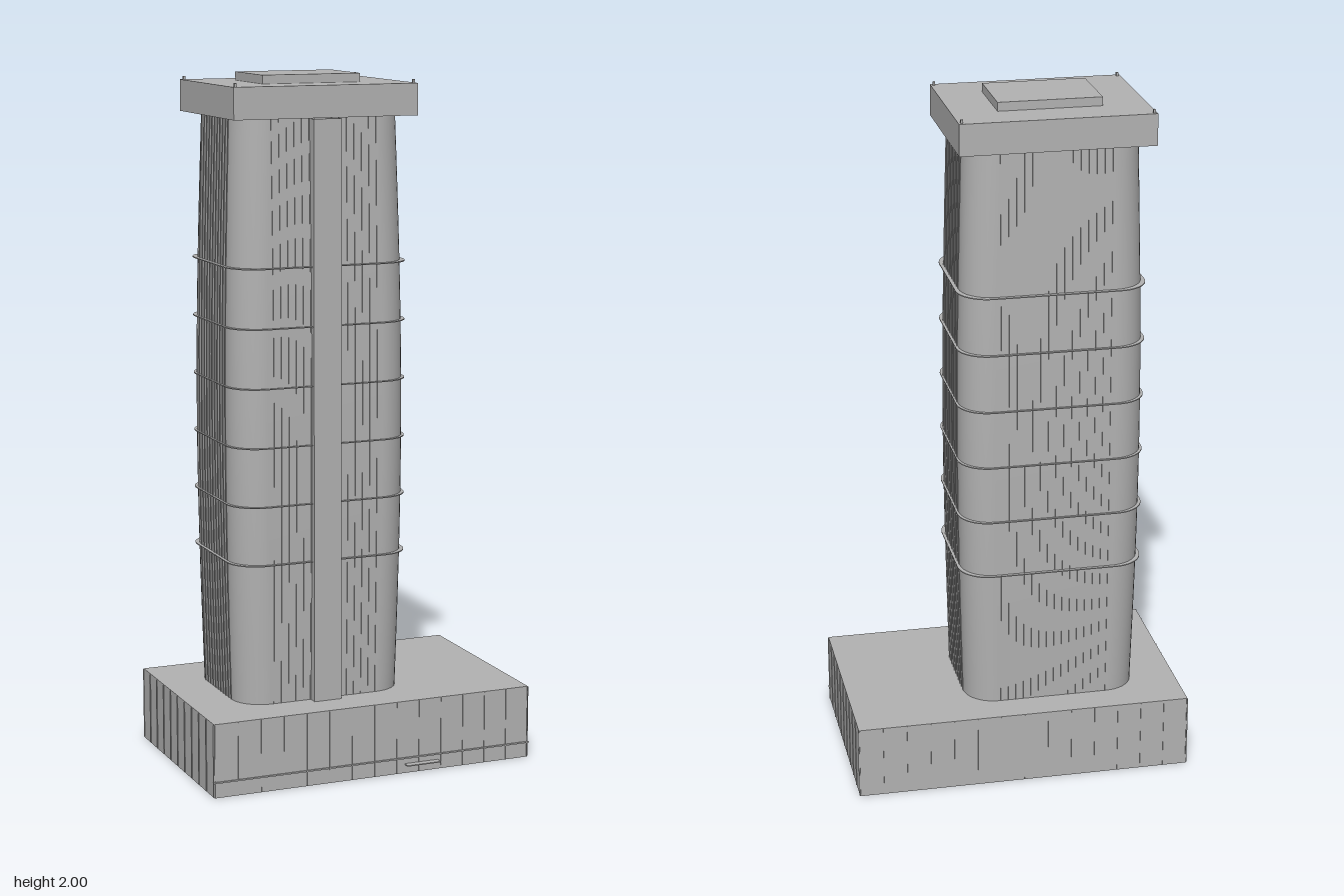
import * as THREE from 'three';

const concrete = new THREE.MeshStandardMaterial({ color: 0xb2b2b2, side: THREE.DoubleSide });
concrete.name = 'grey concrete';

const CX = -0.105, CZ = -0.0235;      // tower axis
const Y0 = 0.215, Y1 = 1.885;         // tower foot and head

// Half width of the gently swelling tower at height y (depth is narrower)
function halfWidth(y) {
  const t = (y - Y0) / (Y1 - Y0);
  return 0.253 - 0.004 * t + 0.014 * Math.sin(Math.PI * t);
}
const halfDepth = (w) => w - 0.057;

// Rounded rectangle outline at height y, anticlockwise seen from above
function outline(w, y, radius = 0.09, steps = 10) {
  const d = halfDepth(w), pts = [];
  [[1, -1], [-1, -1], [-1, 1], [1, 1]].forEach(([sx, sz], k) => {
    for (let i = 0; i <= steps; i++) {
      const a = (k + i / steps) * Math.PI / 2;
      pts.push([CX + sx * (w - radius) + radius * Math.cos(a), y,
        CZ + sz * (d - radius) - radius * Math.sin(a)]);
    }
  });
  return pts;
}

// Skin over rows of points
function skin(rows, closed, flat) {
  const n = rows[0].length, index = [];
  for (let r = 0; r < rows.length - 1; r++) {
    for (let i = 0; i < (closed ? n : n - 1); i++) {
      const a = r * n + i, b = r * n + (i + 1) % n;
      index.push(a, b, b + n, a, b + n, a + n);
    }
  }
  let g = new THREE.BufferGeometry();
  g.setAttribute('position', new THREE.Float32BufferAttribute(rows.flat(2), 3));
  g.setIndex(index);
  if (flat) g = g.toNonIndexed();
  g.computeVertexNormals();
  return g;
}

export function createModel() {
  const model = new THREE.Group();
  model.name = 'tower building';

  const add = (name, geometry, parent = model) => {
    const mesh = new THREE.Mesh(geometry, concrete);
    mesh.name = name;
    parent.add(mesh);
    return mesh;
  };
  const box = (name, x0, x1, y0, y1, z0, z1, parent) =>
    add(name, new THREE.BoxGeometry(x1 - x0, y1 - y0, z1 - z0)
      .translate((x0 + x1) / 2, (y0 + y1) / 2, (z0 + z1) / 2), parent);
  const group = (name) => {
    const g = new THREE.Group();
    g.name = name;
    model.add(g);
    return g;
  };

  // Podium: a hollow shell, open underneath
  const podium = box('podium', -0.49, 0.49, 0, Y0, -0.318, 0.296);
  const idx = Array.from(podium.geometry.index.array);
  idx.splice(18, 6);
  podium.geometry.clearGroups();
  podium.geometry.setIndex(idx);

  // Podium mullions: hair-thin fins
  const mullions = group('podiumMullions');
  const f = 0.0025, h = 0.0006;
  for (let i = 0; i <= 14; i++) {
    const x = -0.488 + i * 0.976 / 14;
    box('frontMullion', x - h, x + h, 0.002, Y0 - 0.002, 0.296, 0.296 + f, mullions);
    box('backMullion', x - h, x + h, 0.002, Y0 - 0.002, -0.318 - f, -0.318, mullions);
  }
  for (let i = 0; i <= 10; i++) {
    const z = -0.316 + i * 0.61 / 10;
    box('leftMullion', 0.49, 0.49 + f, 0.002, Y0 - 0.002, z - h, z + h, mullions);
    box('rightMullion', -0.49 - f, -0.49, 0.002, Y0 - 0.002, z - h, z + h, mullions);
  }

  // Entrance details
  box('shopfrontLedge', -0.494, 0.494, 0.043, 0.047, 0.294, 0.3);
  box('entranceCanopy', 0.095, 0.2, 0.025, 0.028, 0.294, 0.317);

  // Shaft with rounded corners
  const levels = Array.from({ length: 33 }, (_, i) => Y0 + (Y1 - Y0) * i / 32);
  add('shaft', skin(levels.map((y) => outline(halfWidth(y), y)), true));

  // Shaft fins follow the swelling walls on all four sides
  const fins = group('shaftFins');
  const fin = (name, place) => add(name, skin(levels.map((y) => {
    const w = halfWidth(y);
    return [place(w, 0, y), place(w, 0.0025, y)];
  }), false), fins);
  for (const s of [-1, 1]) {
    for (let i = -7; i <= 7; i++) {
      fin(s > 0 ? 'frontFin' : 'backFin',
        (w, o, y) => [CX + i * 0.0225, y, CZ + s * (halfDepth(w) + o)]);
    }
    for (let i = -5; i <= 5; i++) {
      fin(s > 0 ? 'leftFin' : 'rightFin',
        (w, o, y) => [CX + s * (w + o), y, CZ + i * 0.0215]);
    }
  }

  // Thin ledges around the shaft
  const ledges = group('ledges');
  for (let i = 0; i < 6; i++) {
    const y = 0.626 + i * 0.169, w = 0.271, inner = halfWidth(y) - 0.002;
    const rows = [outline(inner, y - 0.0015), outline(w, y - 0.0015),
      outline(w, y + 0.0015), outline(inner, y + 0.0015)];
    add('ledge', skin(rows, true, true), ledges);
  }

  // Vertical spine on the front
  box('frontSpine', -0.147, -0.063, Y0, Y1 - 0.002, 0.1, 0.2);

  // Crown, its corner posts and the roof plant room
  box('crown', -0.38, 0.171, Y1, 1.975, -0.246, 0.194);
  for (const x of [-0.371, 0.162]) {
    for (const z of [-0.235, 0.182]) {
      box('cornerPost', x - 0.003, x + 0.003, 1.97, 1.985, z - 0.004, z + 0.004);
    }
  }
  box('plantRoom', -0.252, 0.043, 1.97, 2, -0.134, 0.08);

  return model;
}
